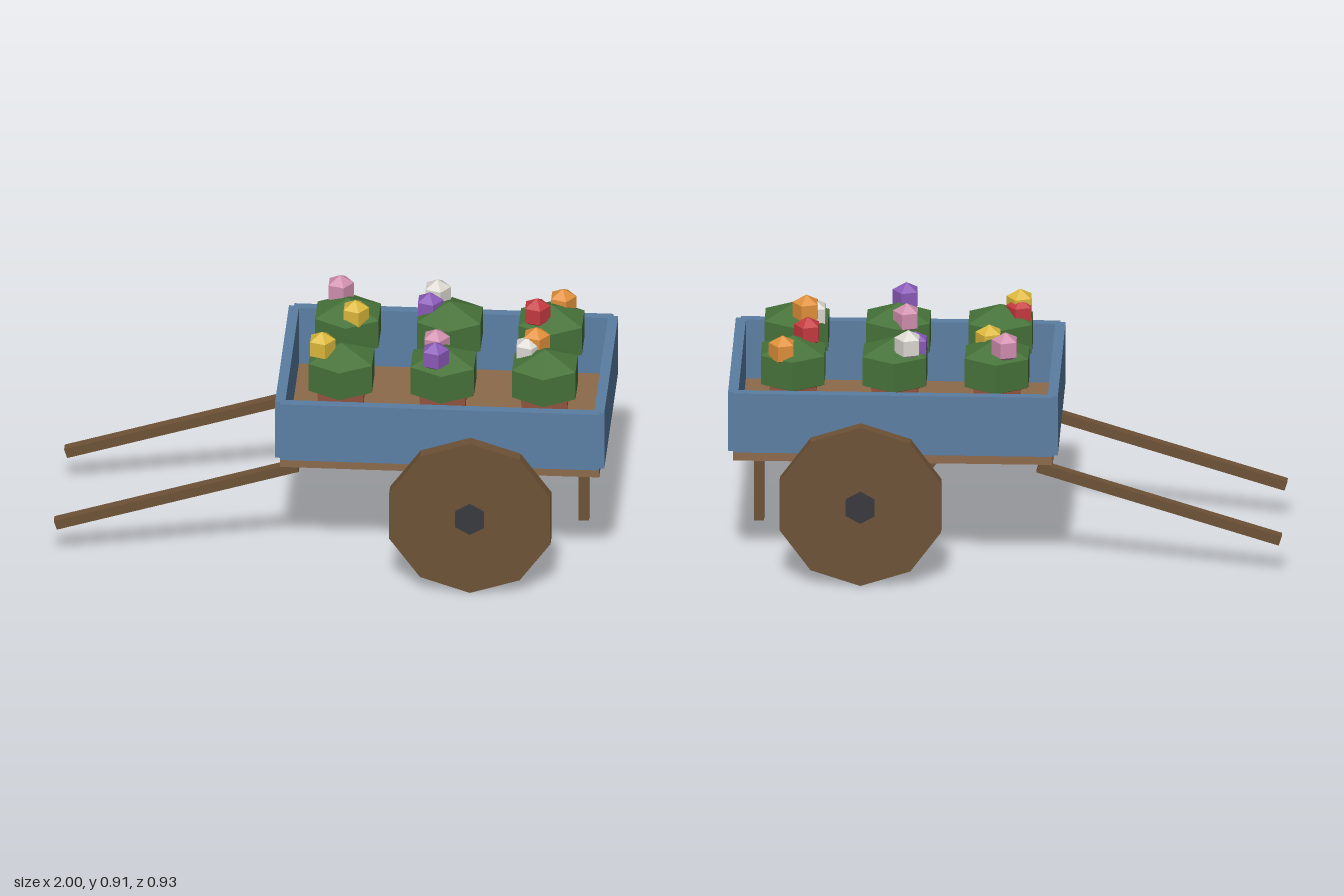
import * as THREE from 'three';

const mat = (color) => new THREE.MeshStandardMaterial({ color, flatShading: true });

export function createModel() {
  const cart = new THREE.Group();
  cart.name = 'flowerCart';

  const wood = mat(0x6e5236), plank = mat(0x8c6a4a), paint = mat(0x5b7ea3), iron = mat(0x38393d);
  const leaf = mat(0x47733a), clay = mat(0x9c5a44);
  const petals = {
    pink: mat(0xd08fae), yellow: mat(0xdcb83c), white: mat(0xdcd8d2),
    purple: mat(0x8a5ab8), orange: mat(0xe0903a), red: mat(0xc43a3f),
  };

  const add = (name, geometry, material, x, y, z, parent = cart) => {
    const mesh = new THREE.Mesh(geometry, material);
    mesh.name = name;
    mesh.position.set(x, y, z);
    parent.add(mesh);
    return mesh;
  };

  // Bed and painted walls
  const midX = 0.402;
  add('bed', new THREE.BoxGeometry(1.155, 0.038, 0.73), plank, midX, 0.467, 0);
  const sideWall = new THREE.BoxGeometry(1.155, 0.229, 0.035);
  const endWall = new THREE.BoxGeometry(0.037, 0.229, 0.73);
  for (const s of [-1, 1]) {
    add('sideWall', sideWall, paint, midX, 0.6, s * 0.364);
    add('endWall', endWall, paint, midX + s * 0.5775, 0.6, 0);
  }

  // Wheels, hubs and slanted handles, mirrored across the cart
  const wheel = new THREE.CylinderGeometry(0.307, 0.307, 0.046, 10).rotateX(Math.PI / 2);
  const hub = new THREE.CylinderGeometry(0.06, 0.06, 0.077, 6).rotateX(Math.PI / 2);
  const handle = new THREE.BoxGeometry(0.917, 0.037, 0.037);
  for (const s of [-1, 1]) {
    add('wheel', wheel, wood, 0.517, 0.307, s * 0.424);
    add('hub', hub, iron, 0.517, 0.307, s * 0.424);
    add('handle', handle, wood, -0.557, 0.27, s * 0.27).rotation.z = 0.3;
  }

  // Prop leg
  add('leg', new THREE.BoxGeometry(0.037, 0.37, 0.037), wood, 0.9, 0.264, 0);

  // Potted plants: [x, z, high bloom [colour, x, z], low bloom [colour, x, z]]
  const pot = new THREE.CylinderGeometry(0.1, 0.08, 0.22, 6);
  const foliage = new THREE.SphereGeometry(0.153, 6, 3).scale(1, 0.72, 1).rotateY(Math.PI / 6);
  const bloom = new THREE.SphereGeometry(0.0575, 5, 3).rotateY(Math.PI);
  const plants = [
    [0.033, -0.169, ['pink', 0, -0.243], ['yellow', 0.064, -0.105]],
    [0.402, -0.169, ['white', 0.352, -0.235], ['purple', 0.328, -0.18]],
    [0.77, -0.169, ['red', 0.72, -0.117], ['orange', 0.806, -0.241]],
    [0.033, 0.169, ['yellow', -0.037, 0.188], ['red', -0.037, 0.163]],
    [0.402, 0.169, ['purple', 0.377, 0.237], ['pink', 0.37, 0.093]],
    [0.77, 0.169, ['orange', 0.733, 0.1], ['white', 0.705, 0.125]],
  ];
  for (const [x, z, ...blooms] of plants) {
    const plant = new THREE.Group();
    plant.name = 'pottedPlant';
    cart.add(plant);
    add('pot', pot, clay, x, 0.596, z, plant);
    add('foliage', foliage, leaf, x, 0.75, z, plant);
    blooms.forEach(([color, bx, bz], i) => {
      add('bloom', bloom, petals[color], bx, i ? 0.83 : 0.855, bz, plant);
    });
  }

  return cart;
}
